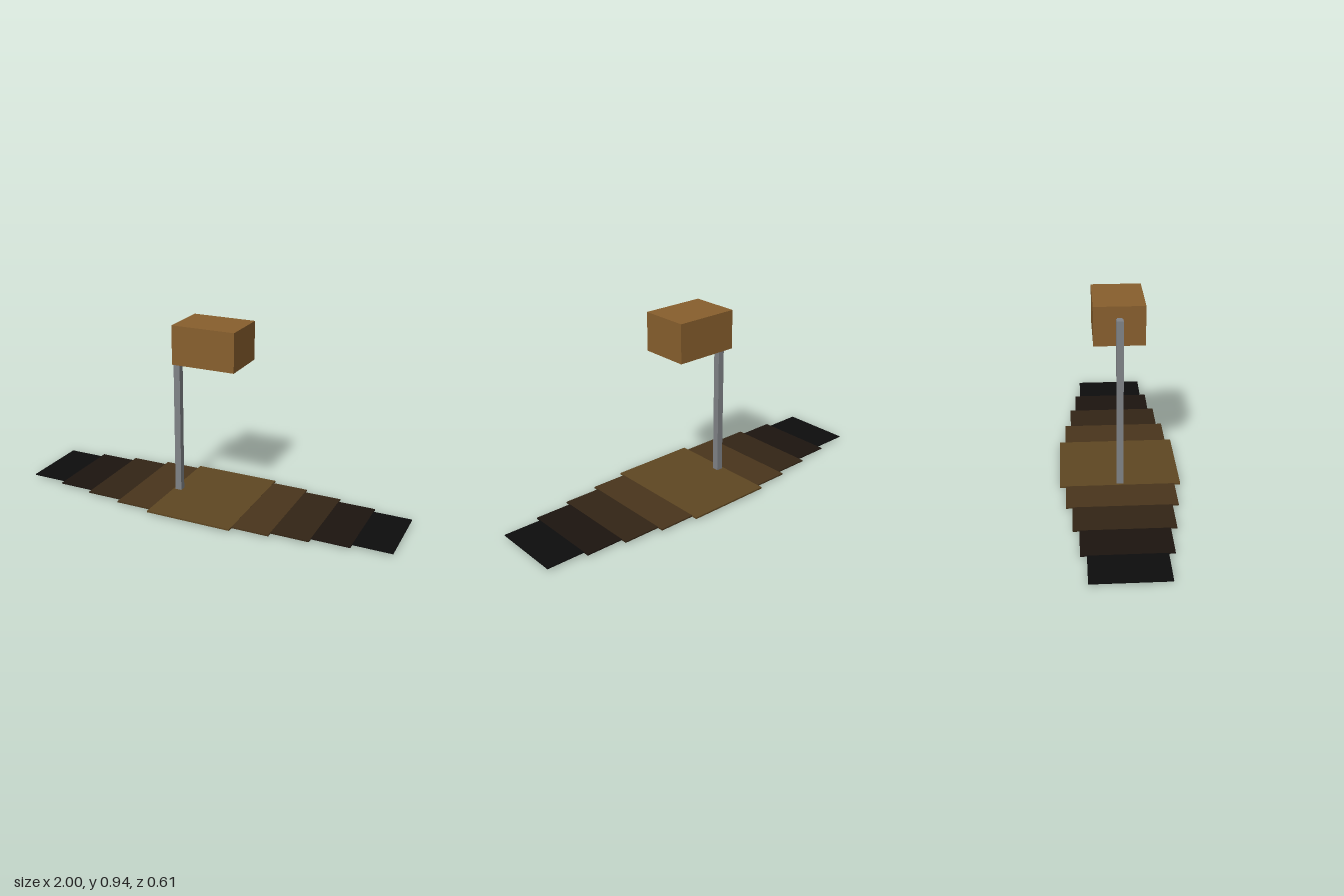
import * as THREE from 'three';

export function createModel() {
  const model = new THREE.Group();
  const paint = (color) => new THREE.MeshStandardMaterial({ color });

  // Box spanning the given [min, max] ranges
  function addBox(name, [x0, x1], [y0, y1], halfZ, material) {
    const mesh = new THREE.Mesh(new THREE.BoxGeometry(x1 - x0, y1 - y0, halfZ * 2), material);
    mesh.position.set((x0 + x1) / 2, (y0 + y1) / 2, 0);
    mesh.name = name;
    model.add(mesh);
  }

  // Nested thin ground slabs, dark and long to light and short
  const slabs = [
    [1.0, 0x0d0d0d],
    [0.805, 0x1c140f],
    [0.612, 0x332515],
    [0.418, 0x49351c],
    [0.227, 0x5f4722],
  ];
  slabs.forEach(([halfX, color], i) => {
    const halfThickness = 0.0025 + i * 0.0004;
    addBox(`groundSlab${i + 1}`, [-halfX, halfX],
      [0.0125 - halfThickness, 0.0125 + halfThickness], 0.182 + i * 0.0302, paint(color));
  });

  // Square post and the short arm that holds the lamp box
  const metal = paint(0x808387);
  addBox('post', [-0.215, -0.181], [0, 0.887], 0.017, metal);
  addBox('arm', [-0.19, -0.16], [0.863, 0.886], 0.013, metal);

  // Lamp box
  addBox('lampBox', [-0.165, 0.165], [0.745, 0.943], 0.125, paint(0x885f2d));

  return model;
}
